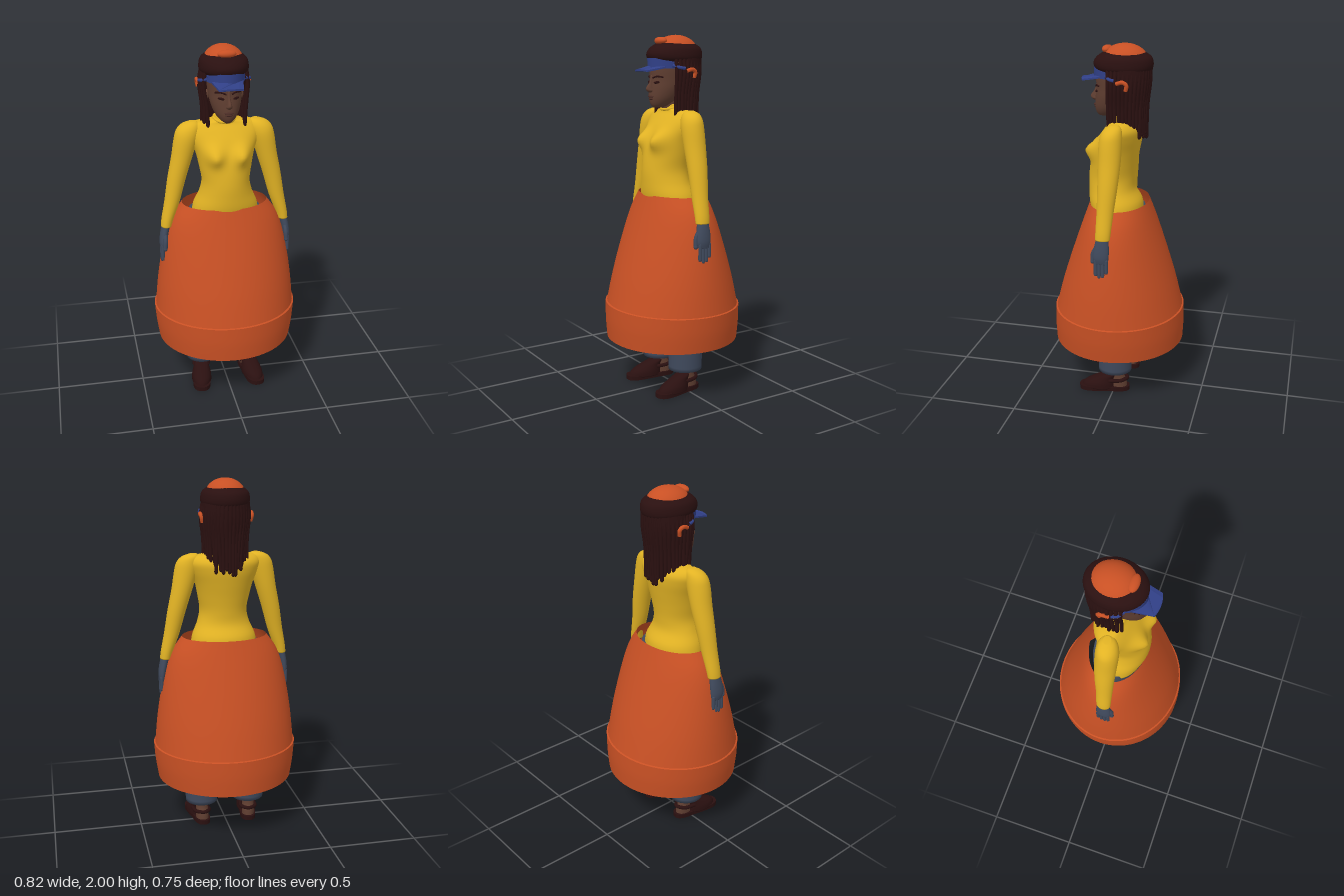
import * as THREE from 'three';

const mat = (name, color, side = THREE.FrontSide) => {
  const m = new THREE.MeshStandardMaterial({ color, side });
  m.name = name;
  return m;
};

// Smooth loft along y. Rows run upward: [y, centreX, centreZ, halfWidth, frontDepth, backDepth]
function loft(rows, { seg = 40, steps = 5, caps = true, deform } = {}) {
  const rings = [];
  const at = i => rows[Math.max(0, Math.min(rows.length - 1, i))];
  for (let i = 0; i < rows.length - 1; i++) {
    const [a, b, c, d] = [at(i - 1), at(i), at(i + 1), at(i + 2)];
    for (let s = 0; s < steps; s++) {
      const t = s / steps;
      rings.push(b.map((v, k) => {
        const cubic = 3 * (v - c[k]) + d[k] - a[k];
        const square = 2 * a[k] - 5 * v + 4 * c[k] - d[k];
        return v + 0.5 * t * (c[k] - a[k] + t * (square + t * cubic));
      }));
    }
  }
  rings.push(rows[rows.length - 1]);
  const pos = [], idx = [];
  for (const [y, cx, cz, rx, zf, zb] of rings) {
    for (let j = 0; j < seg; j++) {
      const a = j / seg * Math.PI * 2, c = Math.cos(a);
      const p = new THREE.Vector3(cx + rx * Math.sin(a), y, cz + c * (c > 0 ? zf : zb));
      if (deform) deform(p);
      pos.push(p.x, p.y, p.z);
    }
  }
  for (let i = 0; i < rings.length - 1; i++) {
    for (let j = 0; j < seg; j++) {
      const k = (j + 1) % seg, a = i * seg + j, b = i * seg + k;
      idx.push(a, b, b + seg, a, b + seg, a + seg);
    }
  }
  if (caps) {
    const top = (rings.length - 1) * seg, n = rings.length * seg;
    for (const r of [rings[0], rings[rings.length - 1]]) pos.push(r[1], r[0], r[2]);
    for (let j = 0; j < seg; j++) {
      const k = (j + 1) % seg;
      idx.push(n, k, j, n + 1, top + j, top + k);
    }
  }
  const g = new THREE.BufferGeometry();
  g.setAttribute('position', new THREE.Float32BufferAttribute(pos, 3));
  g.setIndex(idx);
  g.computeVertexNormals();
  return g;
}

const ball = (x, y, z, rx, ry, rz) =>
  new THREE.SphereGeometry(1, 32, 20).scale(rx, ry, rz).translate(x, y, z);

const tube = (pts, r, n = 10) => new THREE.TubeGeometry(
  new THREE.CatmullRomCurve3(pts.map(p => new THREE.Vector3(...p))), n, r, 8);

export function createModel() {
  const orange = mat('orange', 0xc85024, THREE.DoubleSide);
  const yellow = mat('yellow', 0xe2b324);
  const slate = mat('slate', 0x3f495c);
  const skin = mat('skin', 0x5e3d30);
  const dark = mat('darkBrown', 0x2a1010);
  const blue = mat('blue', 0x303f86, THREE.DoubleSide);
  const lip = mat('lip', 0x4a2b25);
  const root = new THREE.Group();
  const add = (name, geo, material, parent = root) => {
    const m = new THREE.Mesh(geo, material);
    m.name = name;
    parent.add(m);
  };
  let seed = 7;
  const rand = () => (seed = (seed * 16807) % 2147483647) / 2147483647;

  // Hollow barrel skirt with a slightly wider lower band
  const skirtRow = ([y, rx, rz]) => [y, 0, 0, rx, rz, rz];
  const open = { seg: 72, caps: false };
  add('skirt', loft([[0.5, 0.402, 0.363], [0.65, 0.388, 0.324], [0.8, 0.366, 0.277], [0.95, 0.334, 0.226],
    [1.05, 0.296, 0.191], [1.13, 0.24, 0.163]].map(skirtRow), open), orange);
  add('skirtBand', loft([[0.3, 0.387, 0.37], [0.4, 0.402, 0.374], [0.5, 0.41, 0.371]].map(skirtRow), open), orange);
  add('skirtSeam', loft([[0.5, 0.41, 0.371], [0.504, 0.401, 0.361]].map(skirtRow), { ...open, steps: 1 }), orange);

  // Torso with a shaped chest
  const chest = p => {
    const u = (Math.abs(p.x) - 0.078) / 0.045, v = (p.y - 1.43) / 0.05;
    if (p.z > 0) p.z += 0.05 * Math.exp(-u * u - v * v);
  };
  add('torso', loft([
    [1.06, 0, 0.02, 0.19, 0.13, 0.15], [1.13, 0, 0.02, 0.178, 0.148, 0.145], [1.2, 0, 0.03, 0.148, 0.143, 0.118],
    [1.27, 0, 0.035, 0.133, 0.138, 0.12], [1.35, 0, 0.025, 0.145, 0.138, 0.12], [1.43, 0, 0.01, 0.163, 0.132, 0.12],
    [1.5, 0, 0, 0.19, 0.108, 0.122], [1.55, 0, -0.01, 0.2, 0.085, 0.11], [1.585, 0, -0.015, 0.17, 0.065, 0.075],
    [1.602, 0, -0.01, 0.075, 0.06, 0.055], [1.625, 0, -0.005, 0.055, 0.055, 0.05]],
  { seg: 64, deform: chest }), yellow);
  add('collar', new THREE.TorusGeometry(0.057, 0.008, 8, 32).rotateX(Math.PI / 2 + 0.25).translate(0, 1.61, 0.002), yellow);
  add('neck', loft([[1.57, 0, 0, 0.045, 0.045, 0.045], [1.7, 0, 0.025, 0.05, 0.05, 0.05]]), skin);
  add('hips', loft([[0.8, 0, 0, 0.16, 0.1, 0.1], [0.92, 0, 0, 0.2, 0.12, 0.135],
    [1.03, 0, 0, 0.21, 0.13, 0.145], [1.09, 0, 0, 0.2, 0.13, 0.14]]), slate);

  // Arms, gloves, legs and sandals, mirrored
  for (const s of [1, -1]) {
    const side = s > 0 ? 'left' : 'right';
    const mirror = rows => rows.map(([y, x, ...r]) => [y, x * s, ...r]);
    add(side + 'Sleeve', loft(mirror([
      [1.005, 0.334, 0.018, 0.03, 0.04, 0.04], [1.05, 0.325, 0.016, 0.034, 0.042, 0.042],
      [1.15, 0.297, 0.012, 0.043, 0.046, 0.046], [1.28, 0.268, 0.006, 0.051, 0.054, 0.054],
      [1.4, 0.237, 0.003, 0.058, 0.06, 0.06], [1.5, 0.213, 0.003, 0.066, 0.062, 0.062],
      [1.55, 0.2, 0, 0.065, 0.056, 0.056], [1.58, 0.187, -0.005, 0.05, 0.042, 0.042],
      [1.595, 0.175, -0.008, 0.022, 0.02, 0.02]])), yellow);

    const glove = new THREE.Group();
    glove.name = side + 'Glove';
    root.add(glove);
    add('palm', loft(mirror([
      [0.875, 0.355, 0.022, 0.015, 0.034, 0.036], [0.91, 0.354, 0.024, 0.021, 0.042, 0.044],
      [0.96, 0.347, 0.022, 0.023, 0.04, 0.042], [1.02, 0.334, 0.018, 0.024, 0.032, 0.032]])), slate, glove);
    [0.81, 0.797, 0.802, 0.825].forEach((tip, i) => {
      add('finger', new THREE.CapsuleGeometry(0.0105, 0.89 - tip, 4, 10)
        .translate(s * 0.36, (0.9 + tip) / 2, 0.05 - i * 0.0195), slate, glove);
    });
    add('thumb', tube([[s * 0.343, 0.97, 0.045], [s * 0.345, 0.93, 0.067], [s * 0.348, 0.885, 0.07]], 0.012), slate, glove);
    add('thumbTip', ball(s * 0.348, 0.885, 0.07, 0.012, 0.014, 0.012), slate, glove);

    add(side + 'TrouserLeg', loft(mirror([
      [0.13, 0.138, -0.003, 0.093, 0.096, 0.096], [0.3, 0.138, -0.003, 0.096, 0.098, 0.098],
      [0.6, 0.125, -0.005, 0.1, 0.103, 0.105], [0.88, 0.103, 0, 0.102, 0.11, 0.12]])), slate);

    const foot = new THREE.Group();
    foot.name = side + 'Foot';
    foot.position.set(s * 0.143, 0, 0);
    foot.rotation.y = s * 0.14;
    root.add(foot);
    const sole = new THREE.Shape();
    sole.moveTo(0, 0.09);
    sole.bezierCurveTo(0.05, 0.09, 0.045, 0.02, 0.045, -0.02);
    sole.bezierCurveTo(0.05, -0.1, 0.07, -0.205, 0, -0.205);
    sole.bezierCurveTo(-0.07, -0.205, -0.05, -0.1, -0.045, -0.02);
    sole.bezierCurveTo(-0.045, 0.02, -0.05, 0.09, 0, 0.09);
    add('sole', new THREE.ExtrudeGeometry(sole, { depth: 0.025, bevelEnabled: false, curveSegments: 12 })
      .rotateX(-Math.PI / 2), dark, foot);
    add('ankle', loft([[0.02, 0, -0.03, 0.036, 0.06, 0.045], [0.06, 0, -0.03, 0.036, 0.06, 0.04],
      [0.1, 0, -0.02, 0.034, 0.045, 0.035], [0.18, 0, -0.015, 0.036, 0.038, 0.036]]), skin, foot);
    add('toeCover', loft([[0.015, 0, 0.08, 0.058, 0.112, 0.09], [0.045, 0, 0.075, 0.056, 0.1, 0.085],
      [0.075, 0, 0.05, 0.046, 0.07, 0.06], [0.1, 0, 0.015, 0.038, 0.04, 0.035],
      [0.108, 0, 0.01, 0.02, 0.02, 0.02]]), dark, foot);
    add('heelStrap', tube([[-0.04, 0.065, 0.03], [-0.039, 0.07, -0.04], [0, 0.075, -0.077],
      [0.039, 0.07, -0.04], [0.04, 0.065, 0.03]], 0.011, 24), dark, foot);
  }

  // Head and face
  add('head', loft([
    [1.608, 0, 0.09, 0.018, 0.025, 0.03], [1.625, 0, 0.07, 0.042, 0.06, 0.06], [1.66, 0, 0.05, 0.066, 0.088, 0.09],
    [1.71, 0, 0.03, 0.083, 0.105, 0.1], [1.76, 0, 0.01, 0.091, 0.12, 0.11], [1.82, 0, 0, 0.096, 0.13, 0.13],
    [1.9, 0, -0.01, 0.095, 0.125, 0.13]], { seg: 48 }), skin);
  add('nose', loft([[1.69, 0, 0.13, 0.008, 0.014, 0.01], [1.7, 0, 0.13, 0.018, 0.029, 0.02],
    [1.715, 0, 0.13, 0.014, 0.034, 0.02], [1.745, 0, 0.125, 0.009, 0.018, 0.01],
    [1.785, 0, 0.122, 0.009, 0.009, 0.01]], { seg: 20 }), skin);
  add('upperLip', ball(0, 1.668, 0.134, 0.026, 0.006, 0.011), lip);
  add('lowerLip', ball(0, 1.656, 0.13, 0.022, 0.007, 0.012), lip);
  for (const s of [1, -1]) {
    add('eye', ball(0, 0, 0, 0.019, 0.007, 0.005).rotateZ(s * 0.15).rotateY(s * 0.45).translate(s * 0.04, 1.745, 0.121), dark);
    add('eyebrow', tube([[s * 0.014, 1.768, 0.13], [s * 0.04, 1.777, 0.121], [s * 0.068, 1.773, 0.095]], 0.0045), dark);
    add('ear', ball(s * 0.095, 1.74, 0, 0.01, 0.028, 0.018), skin);
  }

  // Hair: thick roll round the head, back volume and hanging locks
  add('hairRoll', loft([[1.855, 0, -0.02, 0.115, 0.135, 0.145], [1.872, 0, -0.02, 0.131, 0.157, 0.157],
    [1.9, 0, -0.02, 0.132, 0.163, 0.16], [1.93, 0, -0.022, 0.122, 0.145, 0.148],
    [1.955, 0, -0.025, 0.09, 0.11, 0.11]]), dark);
  add('hairBack', loft([[1.6, 0, -0.065, 0.08, 0.03, 0.06], [1.66, 0, -0.055, 0.105, 0.04, 0.09],
    [1.74, 0, -0.045, 0.12, 0.05, 0.118], [1.82, 0, -0.035, 0.131, 0.06, 0.136],
    [1.89, 0, -0.025, 0.13, 0.08, 0.145]]), dark);
  const locks = new THREE.Group();
  locks.name = 'hairLocks';
  root.add(locks);
  const count = 27;
  for (let i = 0; i < count; i++) {
    const a = 1.13 + i / (count - 1) * (2 * Math.PI - 2.26);
    const x = Math.sin(a), z = Math.cos(a), back = Math.max(0, -z);
    const end = (z > 0.1 ? 1.56 : 1.575 - 0.07 * back) + (rand() - 0.5) * 0.06;
    const w = 0.112 + rand() * 0.012, sway = (rand() - 0.5) * 0.015;
    const d = 0.13 + rand() * 0.012;
    const tip = [x * w * 0.95 + sway, end, -0.015 + z * d * 0.96];
    add('lock', tube([[x * 0.118, 1.88, -0.02 + z * 0.145], [x * 0.131, 1.8, -0.02 + z * 0.143],
      [x * w, 1.68, -0.015 + z * d], tip], 0.0105), dark, locks);
    add('lockTip', ball(...tip, 0.0105, 0.016, 0.0105), dark, locks);
  }

  // Orange cap with a flat button
  add('cap', ball(0, 1.91, -0.027, 0.109, 0.09, 0.126), orange);
  add('capButton', ball(0, 1.967, 0.07, 0.05, 0.021, 0.027), orange);

  // Visor band, bent brim and side straps
  add('visorBand', new THREE.CylinderGeometry(1, 1, 0.055, 40, 1, true, -1.25, 2.5)
    .scale(0.108, 1, 0.147).translate(0, 1.847, -0.005), blue);
  const brim = new THREE.Shape();
  brim.moveTo(-0.085, -0.09);
  brim.lineTo(-0.064, -0.195);
  brim.quadraticCurveTo(0, -0.222, 0.064, -0.195);
  brim.lineTo(0.085, -0.09);
  brim.quadraticCurveTo(0, -0.17, -0.085, -0.09);
  const brimGeo = new THREE.ExtrudeGeometry(brim, { depth: 0.009, bevelEnabled: false, curveSegments: 20 })
    .rotateX(-Math.PI / 2);
  const bp = brimGeo.attributes.position;
  for (let i = 0; i < bp.count; i++) {
    bp.setY(i, bp.getY(i) + 1.827 - 2.2 * bp.getX(i) ** 2 - 0.25 * (bp.getZ(i) - 0.13));
  }
  brimGeo.computeVertexNormals();
  add('visorBrim', brimGeo, blue);
  for (const s of [1, -1]) {
    add('visorStrap', tube([[s * 0.1, 1.835, 0.055], [s * 0.128, 1.825, 0.03], [s * 0.137, 1.82, 0]], 0.009), blue);
    add('strapClip', tube([[s * 0.136, 1.805, -0.01], [s * 0.141, 1.815, -0.045],
      [s * 0.138, 1.8, -0.065], [s * 0.132, 1.77, -0.06]], 0.011), orange);
  }
  return root;
}
